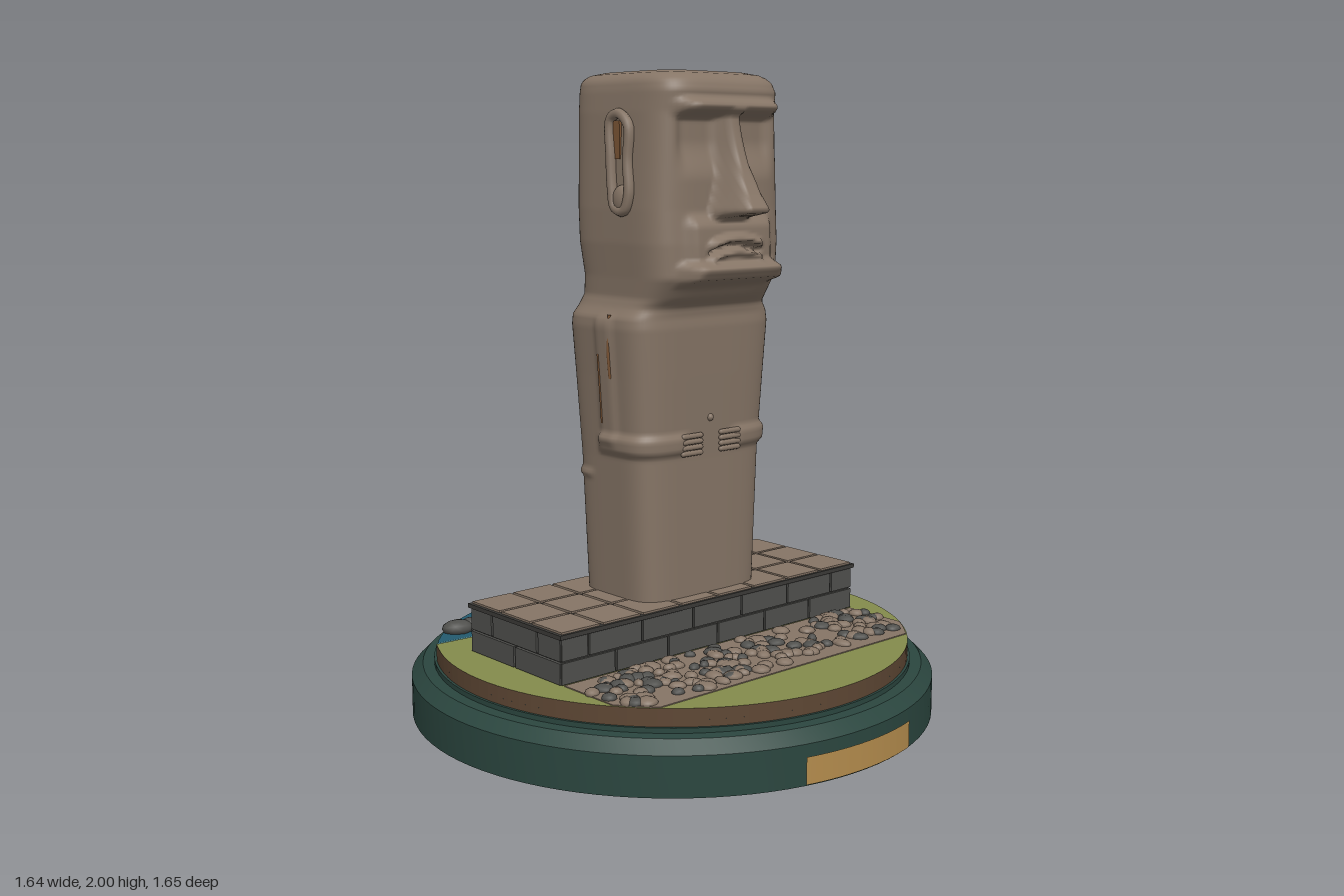
import * as THREE from 'three';
import { toCreasedNormals } from 'three/addons/utils/BufferGeometryUtils.js';

const material = (name, color, side = THREE.FrontSide) => {
  const m = new THREE.MeshStandardMaterial({ color, side });
  m.name = name;
  return m;
};
const smooth = THREE.MathUtils.smoothstep;
const band = (v, a, b, f) => smooth(v, a - f, a + f) * (1 - smooth(v, b - f, b + f));

// Statue sections: height, half width, back z, front z
const SECTIONS = [
  [0.41, 0.24, -0.175, 0.165], [0.85, 0.258, -0.185, 0.17], [1.1, 0.275, -0.195, 0.18],
  [1.25, 0.287, -0.2, 0.185], [1.28, 0.284, -0.198, 0.182], [1.31, 0.262, -0.19, 0.186],
  [1.34, 0.25, -0.182, 0.215], [1.4, 0.252, -0.18, 0.255], [1.5, 0.26, -0.195, 0.255],
  [1.6, 0.26, -0.2, 0.25], [1.88, 0.248, -0.21, 0.25], [1.94, 0.242, -0.213, 0.262],
  [1.97, 0.235, -0.213, 0.25], [1.99, 0.215, -0.2, 0.225], [2, 0.17, -0.16, 0.18],
];
const POWER = 5;

function section(y) {
  let i = 0;
  while (i < SECTIONS.length - 2 && y > SECTIONS[i + 1][0]) i++;
  const p = SECTIONS[i], q = SECTIONS[i + 1];
  const t = THREE.MathUtils.clamp((y - p[0]) / (q[0] - p[0]), 0, 1);
  const [a, back, front] = [1, 2, 3].map((k) => p[k] + (q[k] - p[k]) * t);
  return { a, b: (front - back) / 2, zc: (front + back) / 2 };
}

// Half width of the statue at a given height and depth
function sideX(y, z) {
  const { a, b, zc } = section(y);
  return a * Math.pow(Math.max(0, 1 - Math.abs((z - zc) / b) ** POWER), 1 / POWER);
}

// Carved relief of the face, added to z
function face(x, y) {
  const ax = Math.abs(x);
  let d = 0.045 * band(y, 1.877, 1.912, 0.012) * (1 - smooth(ax, 0.15, 0.215)); // brow
  d -= 0.028 * smooth(y, 1.68, 1.8) * (1 - smooth(y, 1.855, 1.875)) * band(ax, 0.04, 0.18, 0.025); // sockets
  d += 0.025 * band(y, 1.42, 1.57, 0.025) * (1 - smooth(ax, 0.145, 0.18)); // muzzle
  d += 0.055 * band(y, 1.385, 1.44, 0.015) * (1 - smooth(ax, 0.165, 0.2)); // chin
  const lip = y + 1.8 * x * x;
  d += 0.022 * (band(lip, 1.502, 1.525, 0.007) + band(lip, 1.465, 1.482, 0.007)) * (1 - smooth(ax, 0.09, 0.115));
  d -= 0.02 * band(lip, 1.485, 1.5, 0.005) * (1 - smooth(ax, 0.09, 0.11)); // mouth slit
  const t = THREE.MathUtils.clamp((1.88 - y) / 0.28, 0, 1);
  const w = 0.036 + 0.05 * t * t;
  const nose = (0.025 + 0.03 * t + 0.08 * t * t) * (1 - smooth(ax, w * 0.4, w)) * band(y, 1.58, 1.88, 0.015);
  return Math.max(d, 0) * (nose > 0.03 ? 0.5 : 1) + Math.min(d, 0) + nose;
}

function statueGeometry() {
  const rows = 190, around = 160, pos = [], index = [];
  for (let j = 0; j <= rows + 1; j++) {
    const y = 0.41 + 1.59 * Math.min(j / rows, 1);
    const { a, b, zc } = section(y);
    for (let i = 0; i <= around; i++) {
      const th = (i / around) * Math.PI * 2, c = Math.cos(th), s = Math.sin(th);
      let r = (Math.abs(c / a) ** POWER + Math.abs(s / b) ** POWER) ** (-1 / POWER);
      if (j > rows) r = 0;
      let x = r * c, z = zc + r * s;
      const onSide = smooth(Math.abs(x), 0.17, 0.22);
      let out = 0.016 * band(y, 0.87, 0.925, 0.012) * smooth(z, -0.05, -0.01) * smooth(Math.abs(x), 0.07, 0.12); // forearms
      out += 0.01 * band(y, 0.9, 1.28, 0.02) * band(z, -0.02, 0.05, 0.015) * onSide; // upper arms
      out += 0.009 * band(y, 0.782, 0.802, 0.01) * (1 - smooth(z, -0.1, -0.06)); // back belt
      x += out * c;
      z += out * s;
      if (s > 0 && y > 1.34 && j <= rows) z += face(x, y) * smooth(s, 0.25, 0.55);
      pos.push(x, y, z);
      if (i < around && j <= rows) {
        const A = j * (around + 1) + i, C = A + around + 1;
        index.push(A, C, A + 1, A + 1, C, C + 1);
      }
    }
  }
  const g = new THREE.BufferGeometry();
  g.setAttribute('position', new THREE.Float32BufferAttribute(pos, 3));
  g.setIndex(index);
  g.computeVertexNormals();
  return g;
}

// Strip between two lines of points with equal counts
function ribbon(a, b) {
  const g = new THREE.BufferGeometry(), index = [];
  a.forEach((_, i) => { if (i < a.length - 1) index.push(2 * i, 2 * i + 1, 2 * i + 2, 2 * i + 2, 2 * i + 1, 2 * i + 3); });
  g.setAttribute('position', new THREE.Float32BufferAttribute(a.flatMap((p, i) => [...p, ...b[i]]), 3));
  g.setIndex(index);
  g.computeVertexNormals();
  return g;
}

export function createModel() {
  const model = new THREE.Group();
  model.name = 'stoneStatueOnBase';
  const stone = material('weathered stone', 0x867566);
  const darkStone = material('dark stone', 0x50504d);
  const joint = material('dark joints', 0x3b3a37);
  const green = material('base green', 0x2b463f);
  const gold = material('plaque gold', 0xb48c4d, THREE.DoubleSide);
  const soil = material('soil brown', 0x5e4734);
  const grass = material('grass', 0x848b4c, THREE.DoubleSide);
  const sea = material('sea blue', 0x235a6e);
  const shallows = material('shallow water', 0x4b8089, THREE.DoubleSide);
  const rust = material('rust brown', 0x7d5636);
  const add = (name, geo, mat, x = 0, y = 0, z = 0, parent = model) => {
    const m = new THREE.Mesh(geo, mat);
    m.name = name;
    m.position.set(x, y, z);
    parent.add(m);
    return m;
  };
  const slab = (points, y, depth) => new THREE.ExtrudeGeometry(
    new THREE.Shape(points.map(([x, z]) => new THREE.Vector2(x, -z))), { depth, bevelEnabled: false })
    .rotateX(-Math.PI / 2).translate(0, y, 0);

  // Round base and curved plaque
  const basePts = [[0, 0], [0.72, 0], [0.82, 0.04], [0.82, 0.16], [0.785, 0.195], [0.75, 0.197], [0.75, 0.212], [0, 0.212]];
  add('base', toCreasedNormals(new THREE.LatheGeometry(basePts.map((p) => new THREE.Vector2(...p)), 96), 0.3), green);
  add('plaque', new THREE.CylinderGeometry(0.826, 0.826, 0.08, 16, 1, true, -0.265, 0.53), gold, 0, 0.085, 0);

  // Sea, land and sloping shore
  const R = 0.742;
  add('sea', new THREE.CylinderGeometry(R, R, 0.025, 96), [soil, sea, soil], 0, 0.2195, 0);
  const shore = new THREE.SplineCurve([[-0.61, -0.425], [-0.35, -0.4], [-0.12, -0.345], [0.05, -0.315],
    [0.2, -0.3], [0.4, -0.325], [0.645, -0.365]].map((p) => new THREE.Vector2(...p))).getPoints(40);
  const line = (dz, y) => shore.map((p) => {
    const z = p.y + dz, edge = Math.sqrt(R * R - z * z);
    return [p.x * edge / Math.sqrt(R * R - p.y * p.y), y, z];
  });
  const crest = line(0.06, 0.265);
  const land = crest.map((p) => [p[0], p[2]]);
  const a0 = Math.atan2(land[40][1], land[40][0]), a1 = Math.atan2(land[0][1], land[0][0]) + Math.PI * 2;
  for (let i = 1; i < 72; i++) {
    const a = a0 + (a1 - a0) * i / 72;
    land.push([R * Math.cos(a), R * Math.sin(a)]);
  }
  add('land', slab(land, 0.21, 0.055), [grass, soil]);
  add('shoreSlope', ribbon(line(0, 0.233), crest), grass);
  add('shallows', ribbon(line(-0.035, 0.2335), line(0.005, 0.2345)), shallows);

  // Gravel bed clipped to the round ground
  const bed = [[-0.6, 0.215], [0.6, 0.215], [0.6, 0.43], [0.57, 0.47], [0.515, 0.53], [-0.515, 0.53], [-0.57, 0.47], [-0.6, 0.43]];
  add('gravelBed', slab(bed, 0.262, 0.006), stone);

  // Loose stones and shore rocks
  let seed = 7;
  const rnd = () => (seed = (seed * 16807) % 2147483647) / 2147483647;
  const pebble = new THREE.IcosahedronGeometry(1, 1);
  const rock = (name, x, y, z, r, h, mat) => {
    const m = add(name, pebble, mat, x, y, z);
    m.scale.set(r * (0.8 + 0.4 * rnd()), h, r * (0.8 + 0.4 * rnd()));
    m.rotation.y = rnd() * 6;
  };
  for (let i = 0; i < 170; i++) {
    const x = -0.59 + 1.18 * rnd(), z = 0.24 + 0.265 * rnd();
    if (Math.hypot(x, z) < 0.72) rock('gravelStone', x, 0.27, z, 0.016 + 0.014 * rnd(), 0.014, rnd() < 0.45 ? darkStone : stone);
  }
  [[-0.46, -0.525, 0.045], [-0.41, -0.52, 0.035], [-0.39, -0.48, 0.04], [-0.225, -0.48, 0.04], [0, -0.415, 0.042],
    [0.1, -0.415, 0.03], [0.125, -0.44, 0.03], [0.235, -0.385, 0.042], [0.335, -0.395, 0.024], [0.335, -0.46, 0.036],
    [0.385, -0.455, 0.033], [0.485, -0.475, 0.025]].forEach(([x, z, r]) => rock('shoreRock', x, 0.245, z, r, 0.026, darkStone));

  // Platform: core, staggered bricks on every side, paving on top
  add('platformCore', new THREE.BoxGeometry(1.2, 0.15, 0.43), joint, 0, 0.335, -0.01);
  add('platformRim', new THREE.BoxGeometry(1.23, 0.013, 0.455), joint, 0, 0.4095, -0.01);
  const course = (row, half, brick, place) => {
    for (let s = -half - (row ? brick / 2 : 0); s < half - 0.01; s += brick) {
      const lo = Math.max(s, -half), hi = Math.min(s + brick, half);
      place(hi - lo - 0.008, (lo + hi) / 2, 0.3 + row * 0.069);
    }
  };
  for (const row of [0, 1]) for (const side of [-1, 1]) {
    course(row, 0.61, 0.2034, (w, c, y) => add('brick', new THREE.BoxGeometry(w, 0.063, 0.02), darkStone, c, y, -0.01 + side * 0.212));
    course(row, 0.222, 0.222, (w, c, y) => add('brick', new THREE.BoxGeometry(0.02, 0.063, w), darkStone, side * 0.6, y, -0.01 + c));
  }
  for (let i = 0; i < 8; i++) for (let k = 0; k < 3; k++)
    add('pavingSlab', new THREE.BoxGeometry(0.14, 0.012, 0.138), stone, -0.5338 + i * 0.1525, 0.416, -0.16 + k * 0.15);

  // Statue with its carved relief
  add('statue', statueGeometry(), stone);
  add('navel', new THREE.SphereGeometry(0.012, 12, 8), stone, 0, 0.97, 0.172);

  // Hands, ears and arm creases on both sides
  for (const s of [-1, 1]) {
    for (let f = 0; f < 4; f++) {
      const finger = add('finger', new THREE.CapsuleGeometry(0.0085, 0.07, 4, 8), stone, s * 0.078, 0.868 + f * 0.0175, 0.178);
      finger.rotation.z = Math.PI / 2;
    }
    const path = [[1.66, 0.035], [1.75, 0.025], [1.86, 0.02], [1.875, 0.055], [1.84, 0.1], [1.74, 0.1], [1.64, 0.11], [1.595, 0.09], [1.605, 0.05]];
    const rim = new THREE.CatmullRomCurve3(path.map(([y, z]) => new THREE.Vector3(s * (sideX(y, z) + 0.008), y, z)), true);
    add('earRim', new THREE.TubeGeometry(rim, 64, 0.016, 8, true), stone);
    const lobe = add('earLobe', new THREE.SphereGeometry(1, 16, 12), stone, s * 0.26, 1.625, 0.075);
    lobe.scale.set(0.022, 0.045, 0.04);
    add('earHollow', new THREE.BoxGeometry(0.008, 0.11, 0.03), rust, s * (sideX(1.8, 0.05) + 0.003), 1.8, 0.045);
    for (const [z, y0, y1] of [[0.04, 1.1, 1.29], [-0.008, 0.96, 1.17]]) {
      const pts = [0, 0.5, 1].map((t) => y0 + (y1 - y0) * t).map((y) => new THREE.Vector3(s * (sideX(y, z) + 0.007), y, z));
      add('armCrease', new THREE.TubeGeometry(new THREE.CatmullRomCurve3(pts), 8, 0.005, 6), rust);
    }
  }
  return model;
}
